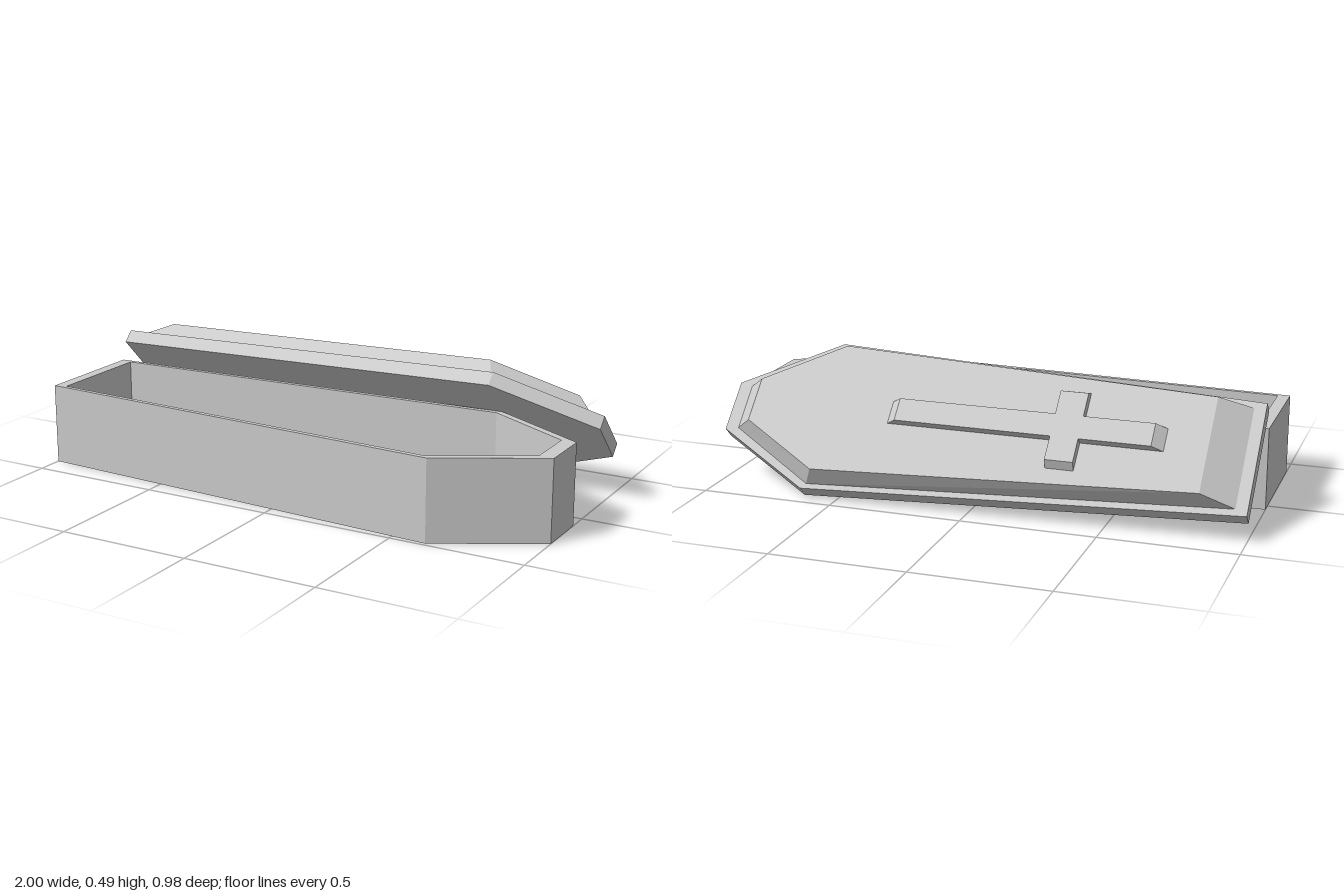
import * as THREE from 'three';

const material = new THREE.MeshStandardMaterial({ color: 0xcccccc, flatShading: true });

// Six-sided coffin plan: [x, halfWidth] at head, shoulder and foot, mirrored to a counter-clockwise ring.
function coffinPlan(stations) {
  const lower = stations.map(([x, w]) => new THREE.Vector2(x, -w));
  const upper = stations.map(([x, w]) => new THREE.Vector2(x, w)).reverse();
  return [...lower, ...upper];
}

// Cross plan: long beam along x, short arms across it.
function crossPlan(head, foot, armReach) {
  const b = 0.045, a0 = -0.39, a1 = -0.287;
  return [
    [head, -b], [a0, -b], [a0, -armReach], [a1, -armReach], [a1, -b], [foot, -b],
    [foot, b], [a1, b], [a1, armReach], [a0, armReach], [a0, b], [head, b],
  ].map(([x, y]) => new THREE.Vector2(x, y));
}

// Closed solid between two matching plans at heights y0 and y1.
function loft(bottom, y0, top, y1) {
  const n = bottom.length, pos = [], index = [];
  bottom.forEach((p) => pos.push(p.x, y0, -p.y));
  top.forEach((p) => pos.push(p.x, y1, -p.y));
  for (let i = 0; i < n; i++) {
    const j = (i + 1) % n;
    index.push(i, j, n + j, i, n + j, n + i);
  }
  for (const [a, b, c] of THREE.ShapeUtils.triangulateShape(top, [])) {
    index.push(n + a, n + b, n + c, a, c, b);
  }
  const indexed = new THREE.BufferGeometry();
  indexed.setAttribute('position', new THREE.Float32BufferAttribute(pos, 3));
  indexed.setIndex(index);
  const geometry = indexed.toNonIndexed();
  geometry.computeVertexNormals();
  return geometry;
}

function addPart(parent, name, geometry) {
  const mesh = new THREE.Mesh(geometry, material);
  mesh.name = name;
  parent.add(mesh);
  return mesh;
}

export function createModel() {
  const model = new THREE.Group();
  model.name = 'openCoffin';

  const outer = coffinPlan([[-1, 0.22], [0.63, 0.307], [1, 0.1]]);
  const inner = coffinPlan([[-0.955, 0.205], [0.615, 0.286], [0.945, 0.098]]);
  const height = 0.304, floorTop = 0.09;

  // Hollow body: walls with an opening, over a solid floor
  const body = new THREE.Group();
  body.name = 'body';
  body.position.z = 0.18;
  model.add(body);

  const wallShape = new THREE.Shape(outer);
  wallShape.holes.push(new THREE.Path(inner));
  const walls = new THREE.ExtrudeGeometry(wallShape, { depth: height - floorTop, bevelEnabled: false });
  walls.rotateX(-Math.PI / 2).translate(0, floorTop, 0);
  addPart(body, 'walls', walls);
  addPart(body, 'floor', loft(outer, 0, outer, floorTop));

  // Lid leaning behind the body at 45 degrees
  const lid = new THREE.Group();
  lid.name = 'lid';
  lid.position.set(0, 0.219, -0.213);
  lid.rotation.x = -Math.PI / 4;
  model.add(lid);

  const tierBase = coffinPlan([[-0.957, 0.197], [0.612, 0.286], [0.95, 0.09]]);
  const tierTop = coffinPlan([[-0.84, 0.188], [0.58, 0.26], [0.88, 0.088]]);
  addPart(lid, 'lidPlate', loft(outer, 0, outer, 0.055));
  addPart(lid, 'lidRaisedPanel', loft(tierBase, 0.055, tierTop, 0.129));

  // Raised cross with sloped ends
  addPart(lid, 'cross', loft(crossPlan(-0.69, 0.337, 0.156), 0.128, crossPlan(-0.65, 0.3, 0.138), 0.161));

  return model;
}
